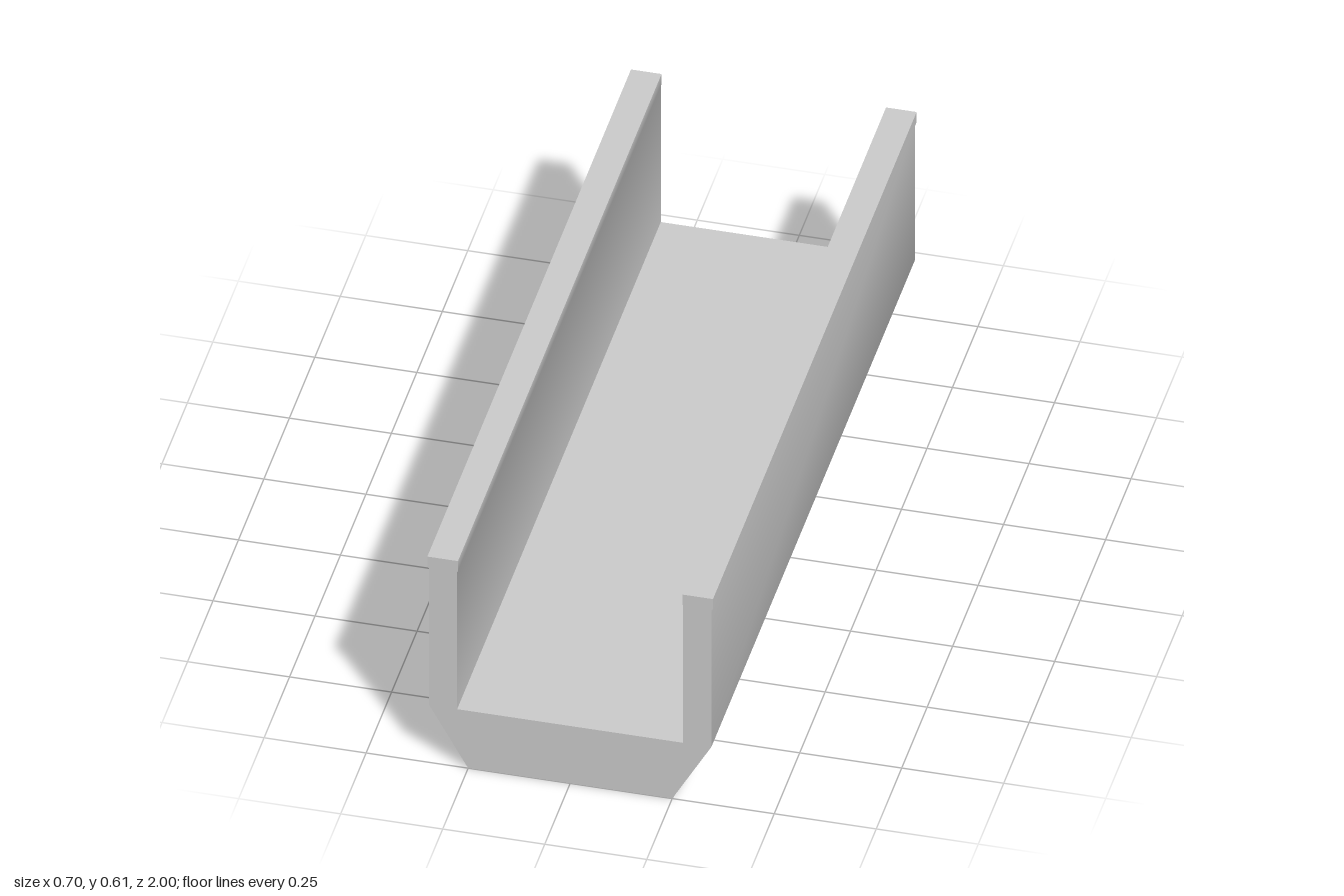
import * as THREE from 'three';
import { toCreasedNormals } from 'three/addons/utils/BufferGeometryUtils.js';

const LENGTH = 2;

export function createModel() {
  const group = new THREE.Group();
  group.name = 'channelTrough';
  const material = new THREE.MeshStandardMaterial({ color: 0xcccccc });

  // Right half of the cross-section, from outer bottom corner to inner floor corner
  const half = [
    [0.25, 0], [0.346, 0.17],       // chamfered lower flank
    [0.346, 0.575], [0.35, 0.579],  // outer wall and step of the rim lip
    [0.35, 0.609], [0.275, 0.609],  // flat rim
    [0.275, 0.579], [0.277, 0.576], // slight inner lip
    [0.277, 0.17],                  // inner wall down to the floor
  ];
  const mirrored = half.map(([x, y]) => [-x, y]).reverse();
  const profile = new THREE.Shape(
    [...half, ...mirrored].map(([x, y]) => new THREE.Vector2(x, y))
  );

  // Sweep the section along z; flank and wall blend, other edges stay sharp
  const solid = new THREE.ExtrudeGeometry(profile, { depth: LENGTH, bevelEnabled: false });
  solid.translate(0, 0, -LENGTH / 2);
  const channel = new THREE.Mesh(toCreasedNormals(solid, 0.6), material);
  channel.name = 'channel';
  group.add(channel);

  return group;
}
